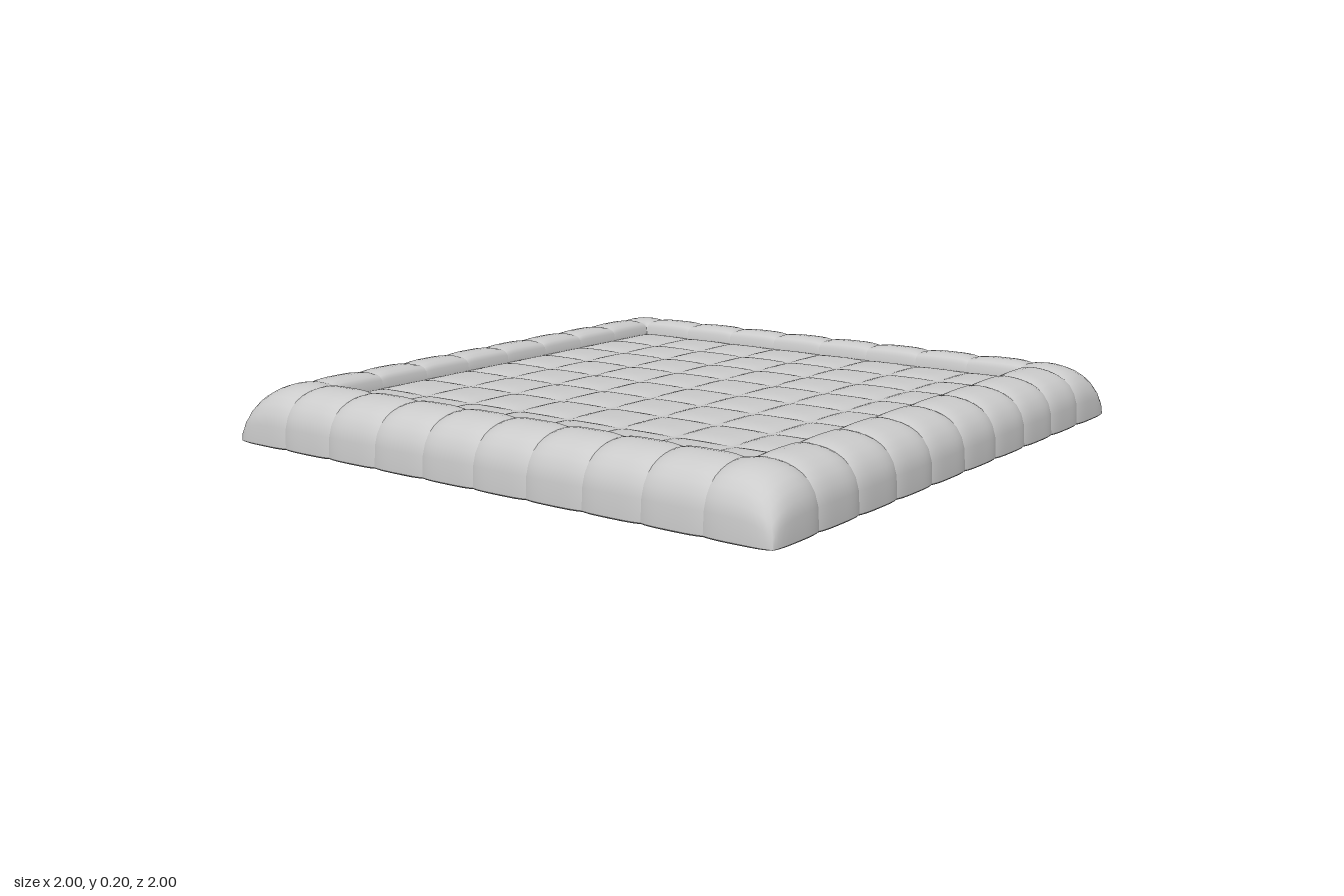
import * as THREE from 'three';
import { mergeGeometries } from 'three/addons/utils/BufferGeometryUtils.js';

const INNER = 0.785;            // half width of the sunken middle
const CELLS = 10, SEG = 12;
const RIM_Y = 0.02;             // height of the sharp outer edge
const PUFF = 0.01, STEP = 0.045;

const edge = (i) => i === 0 ? -1 : i === CELLS ? 1 : -INNER + (i - 1) * INNER * 2 / (CELLS - 2);

// fraction across the border strip: 0 at its inner seam, 1 at the outer edge
const across = (v) => THREE.MathUtils.clamp((Math.abs(v) - INNER) / (1 - INNER), 0, 1);
// outer roundover and the steep rise from the sunken middle
const fall = (v) => Math.cbrt(Math.max(0, 1 - across(v) ** 3));
const rise = (v) => Math.cbrt(Math.max(0, 1 - (1 - across(v)) ** 12));

// one padded face of a cell; u and w run from -1 to 1 across the cell
function surfacePoint(x, z, u, w, top) {
  const puff = PUFF * (1 - u ** 4) * (1 - w ** 4);
  const lift = STEP * Math.max(rise(x), rise(z));
  const round = fall(x) * fall(z);
  const y = top
    ? RIM_Y + (0.145 + lift + puff - RIM_Y) * round
    : RIM_Y + (0.055 - lift - puff - RIM_Y) * round;
  // seams pinch the outer sides slightly inward
  const dent = 0.007;
  return [x * (1 - dent * across(x) * w ** 4), y, z * (1 - dent * across(z) * u ** 4)];
}

function padGeometry(i, j, top) {
  const positions = [], index = [];
  const x0 = edge(i), x1 = edge(i + 1), z0 = edge(j), z1 = edge(j + 1);
  for (let b = 0; b <= SEG; b++) {
    for (let a = 0; a <= SEG; a++) {
      // samples crowd towards the seams
      const u = -Math.cos(Math.PI * a / SEG), w = -Math.cos(Math.PI * b / SEG);
      const x = THREE.MathUtils.lerp(x0, x1, (u + 1) / 2);
      const z = THREE.MathUtils.lerp(z0, z1, (w + 1) / 2);
      positions.push(...surfacePoint(x, z, u, w, top));
      if (a < SEG && b < SEG) {
        const p = b * (SEG + 1) + a, q = p + SEG + 1;
        if (top) index.push(p, q, p + 1, p + 1, q, q + 1);
        else index.push(p, p + 1, q, p + 1, q + 1, q);
      }
    }
  }
  const g = new THREE.BufferGeometry();
  g.setAttribute('position', new THREE.Float32BufferAttribute(positions, 3));
  g.setIndex(index);
  g.computeVertexNormals();
  return g;
}

export function createModel() {
  const group = new THREE.Group();
  group.name = 'quiltedMat';
  const material = new THREE.MeshStandardMaterial({ color: 0xcccccc, side: THREE.DoubleSide });

  // raised border pads and sunken middle pads, each with a top and an underside
  const border = [], middle = [];
  for (let i = 0; i < CELLS; i++) {
    for (let j = 0; j < CELLS; j++) {
      const onBorder = i === 0 || j === 0 || i === CELLS - 1 || j === CELLS - 1;
      (onBorder ? border : middle).push(padGeometry(i, j, true), padGeometry(i, j, false));
    }
  }
  for (const [name, parts] of [['borderPads', border], ['middlePads', middle]]) {
    const mesh = new THREE.Mesh(mergeGeometries(parts), material);
    mesh.name = name;
    group.add(mesh);
  }
  return group;
}
